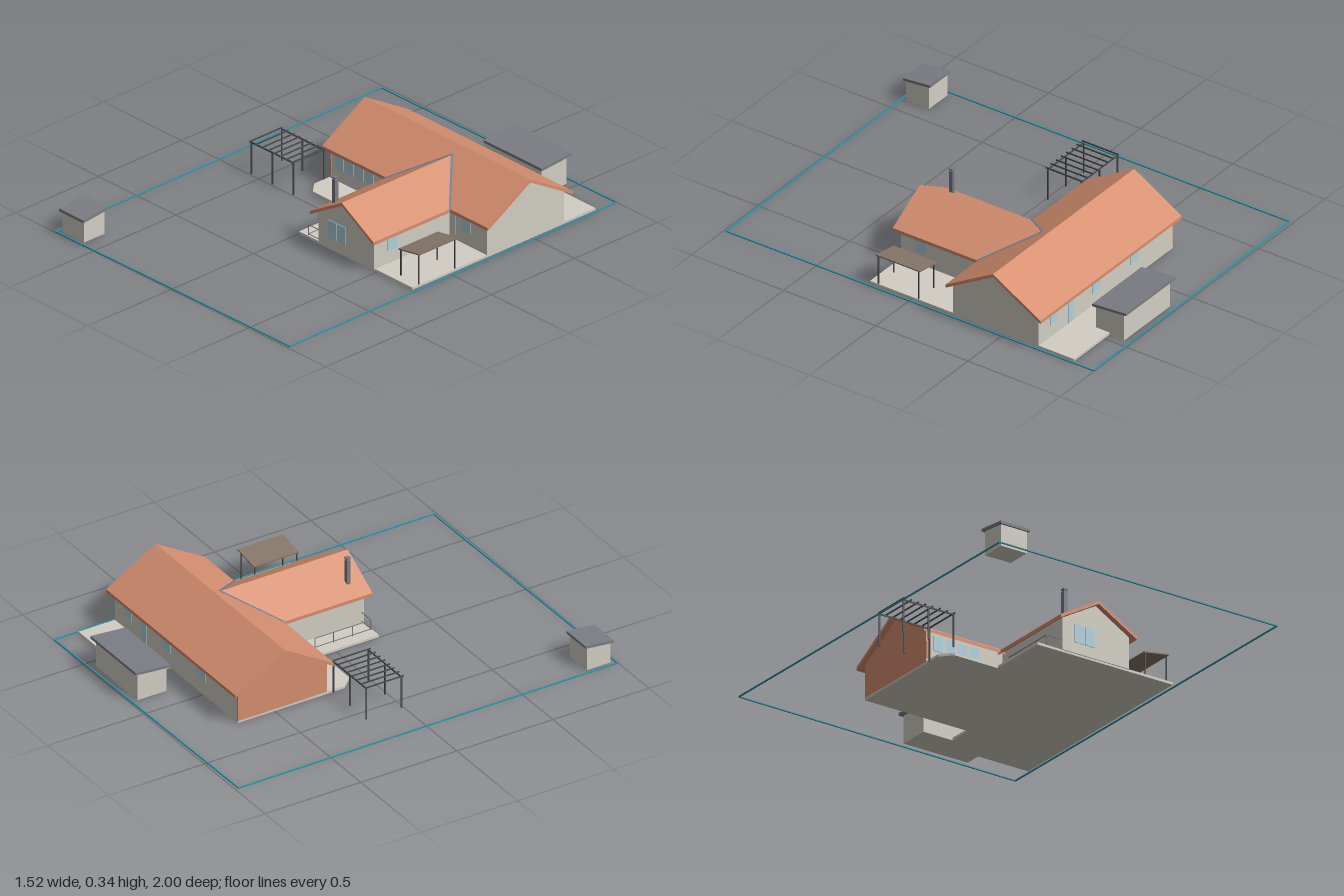
import * as THREE from 'three';

export function createModel() {
  const house = new THREE.Group();
  house.name = 'bungalowOnPlot';

  const mat = (name, color) => {
    const m = new THREE.MeshStandardMaterial({ color });
    m.name = name;
    return m;
  };
  const render = mat('paleRender', 0xd2cec4);
  const tile = mat('terracotta', 0xd68f70);
  const slate = mat('slateGrey', 0x7b7d84);
  const glass = mat('glassBlue', 0xaed0de);
  const metal = mat('darkMetal', 0x4a4c4f);
  const canopyBrown = mat('canopyBrown', 0x86766a);
  const teal = mat('boundaryTeal', 0x2f93a6);
  const flashing = mat('flashingBlue', 0x6f8699);

  const add = (name, geometry, material, parent = house) => {
    const m = new THREE.Mesh(geometry, material);
    m.name = name;
    parent.add(m);
    return m;
  };
  // Box given by its minimum and maximum on each axis
  const box = (name, x0, x1, y0, y1, z0, z1, material, parent) => {
    const m = add(name, new THREE.BoxGeometry(x1 - x0, y1 - y0, z1 - z0), material, parent);
    m.position.set((x0 + x1) / 2, (y0 + y1) / 2, (z0 + z1) / 2);
    return m;
  };
  // Bar of width w and height h between two points
  const bar = (name, a, b, w, h, material, parent) => {
    const p = new THREE.Vector3(...a), q = new THREE.Vector3(...b);
    const m = add(name, new THREE.BoxGeometry(w, h, p.distanceTo(q)), material, parent);
    m.position.copy(p).add(q).multiplyScalar(0.5);
    m.lookAt(q);
    return m;
  };
  const prism = (points, depth) => new THREE.ExtrudeGeometry(
    new THREE.Shape(points.map(p => new THREE.Vector2(...p))), { depth, bevelEnabled: false });
  // Profile in (z, y) swept along x
  const alongX = (name, points, x0, x1, material, parent) => {
    const m = add(name, prism(points.map(([z, y]) => [-z, y]), x1 - x0), material, parent);
    m.rotation.y = Math.PI / 2;
    m.position.x = x0;
    return m;
  };
  // Profile in (x, y) swept along z
  const alongZ = (name, points, z0, z1, material) => {
    const m = add(name, prism(points, z1 - z0), material);
    m.position.z = z0;
    return m;
  };
  const chevron = (c, half, eave, ridge, t) => [
    [c - half, eave], [c, ridge], [c + half, eave],
    [c + half, eave - t], [c, ridge - t], [c - half, eave - t]];

  // Floor slab and terraces
  const outline = [
    [-0.285, -0.69], [0.27, -0.69], [0.27, -0.88], [0.73, -0.88], [0.73, 0.225],
    [0, 0.225], [0, -0.078], [-0.235, -0.078], [-0.285, -0.133]];
  const slab = add('floorSlab', prism(outline.map(([x, z]) => [x, -z]), 0.012), render);
  slab.rotation.x = -Math.PI / 2;

  // Main block with gables on both ends
  const mainWall = [[-0.69, 0.01], [-0.69, 0.168], [-0.46, 0.3], [-0.225, 0.165], [-0.225, 0.01]];
  alongX('mainWalls', mainWall, -0.28, 0.73, render);
  alongX('terracottaGable', mainWall, -0.285, -0.28, tile);
  box('terracottaCornerPanel', -0.28, -0.271, 0.03, 0.115, -0.225, -0.221, tile);
  alongX('mainRoof', chevron(-0.4615, 0.2575, 0.165, 0.315, 0.016), -0.31, 0.758, tile);

  // Front wing
  alongZ('wingWalls', [[0.13, 0.01], [0.13, 0.168], [0.309, 0.272], [0.49, 0.165], [0.49, 0.01]],
    -0.3, 0.23, render);
  alongZ('wingRoof', chevron(0.309, 0.205, 0.165, 0.284, 0.016), -0.408, 0.257, tile);
  for (const s of [-1, 1]) {
    bar('valleyFlashing', [0.309 + s * 0.205, 0.165, -0.204], [0.309, 0.285, -0.409], 0.01, 0.005, flashing);
  }

  // Chimney pipe with raised cap
  box('chimneyPipe', 0.17, 0.19, 0.2, 0.324, 0.165, 0.185, slate);
  box('chimneyNeck', 0.174, 0.186, 0.324, 0.33, 0.169, 0.181, slate);
  box('chimneyCap', 0.169, 0.191, 0.33, 0.336, 0.164, 0.186, slate);

  // Window panes on walls facing +z (dir 1) or -z (dir -1)
  const windowZ = (x0, x1, y0, y1, z, dir) => box('windowPane', x0, x1, y0, y1,
    Math.min(z, z + dir * 0.003), Math.max(z, z + dir * 0.003), glass);
  for (const x of [-0.245, -0.18, -0.115, -0.053]) windowZ(x, x + 0.052, 0.075, 0.147, -0.225, 1);
  windowZ(0.517, 0.531, 0.04, 0.135, -0.225, 1);
  windowZ(0.575, 0.625, 0.078, 0.147, -0.225, 1);
  for (const x of [-0.02, 0.27, 0.59]) windowZ(x, x + 0.055, 0.075, 0.14, -0.69, -1);
  windowZ(0.47, 0.51, 0.015, 0.14, -0.69, -1);
  for (const x of [0.196, 0.252]) windowZ(x, x + 0.052, 0.062, 0.149, 0.23, 1);
  box('sideWindowPane', 0.49, 0.493, 0.075, 0.14, 0.095, 0.15, glass);

  // Terrace railing beside the wing
  const rail = new THREE.Group();
  rail.name = 'terraceRailing';
  house.add(rail);
  for (const y of [0.018, 0.064]) {
    bar('railFront', [0.13, y, 0.218], [0.054, y, 0.218], 0.003, 0.003, slate, rail);
    bar('railSide', [0.054, y, 0.218], [0.054, y, -0.075], 0.003, 0.003, slate, rail);
  }
  for (const z of [0.218, 0.12, 0.022, -0.075]) {
    box('railPost', 0.0525, 0.0555, 0.01, 0.064, z - 0.0015, z + 0.0015, slate, rail);
  }

  // Pergola on the left end
  const pergola = new THREE.Group();
  pergola.name = 'pergola';
  house.add(pergola);
  for (const z of [-0.193, -0.01]) {
    box('pergolaBeam', -0.562, -0.283, 0.154, 0.161, z - 0.002, z + 0.002, metal, pergola);
    for (const x of [-0.558, -0.423, -0.287]) {
      box('pergolaPost', x - 0.003, x + 0.003, 0, 0.155, z - 0.003, z + 0.003, metal, pergola);
    }
  }
  for (let i = 0; i < 8; i++) {
    const x = -0.56 + i * 0.039;
    box('pergolaRafter', x - 0.0015, x + 0.0015, 0.159, 0.166, -0.198, 0.002, metal, pergola);
  }

  // Sloping canopy on the right terrace
  const canopy = new THREE.Group();
  canopy.name = 'terraceCanopy';
  house.add(canopy);
  const canopyRoof = add('canopyRoof', prism(
    [[0.602, 0.138], [0.736, 0.16], [0.736, 0.166], [0.602, 0.144]], 0.236), canopyBrown, canopy);
  canopyRoof.position.z = -0.048;
  for (const z of [-0.036, 0.182]) {
    box('canopyPost', 0.609, 0.614, 0.01, 0.141, z - 0.0025, z + 0.0025, metal, canopy);
    box('canopyPost', 0.723, 0.728, 0.01, 0.159, z - 0.0025, z + 0.0025, metal, canopy);
  }

  // Sheds with single-pitch roofs: wall and roof ends given as [z, y]
  const shed = (name, wx0, wx1, rx0, rx1, front, back, roofFront, roofBack) => {
    const g = new THREE.Group();
    g.name = name;
    house.add(g);
    alongX('shedWalls', [[front[0], 0], front, back, [back[0], 0]], wx0, wx1, render, g);
    alongX('shedRoof', [roofFront, roofBack, [roofBack[0], roofBack[1] + 0.013],
      [roofFront[0], roofFront[1] + 0.013]], rx0, rx1, slate, g);
  };
  shed('gardenShed', -0.725, -0.586, -0.734, -0.578, [0.974, 0.108], [0.85, 0.12], [0.985, 0.103], [0.838, 0.118]);
  shed('backShed', 0.115, 0.46, 0.1, 0.474, [-0.808, 0.128], [-0.96, 0.138], [-0.796, 0.125], [-0.979, 0.14]);

  // Plot boundary line
  const corners = [[-0.757, -0.983], [0.743, -0.997], [0.754, 0.986], [-0.748, 0.996]];
  corners.forEach(([x, z], i) => {
    const [nx, nz] = corners[(i + 1) % 4];
    bar('plotBoundary', [x, 0.0025, z], [nx, 0.0025, nz], 0.007, 0.005, teal);
  });

  return house;
}
